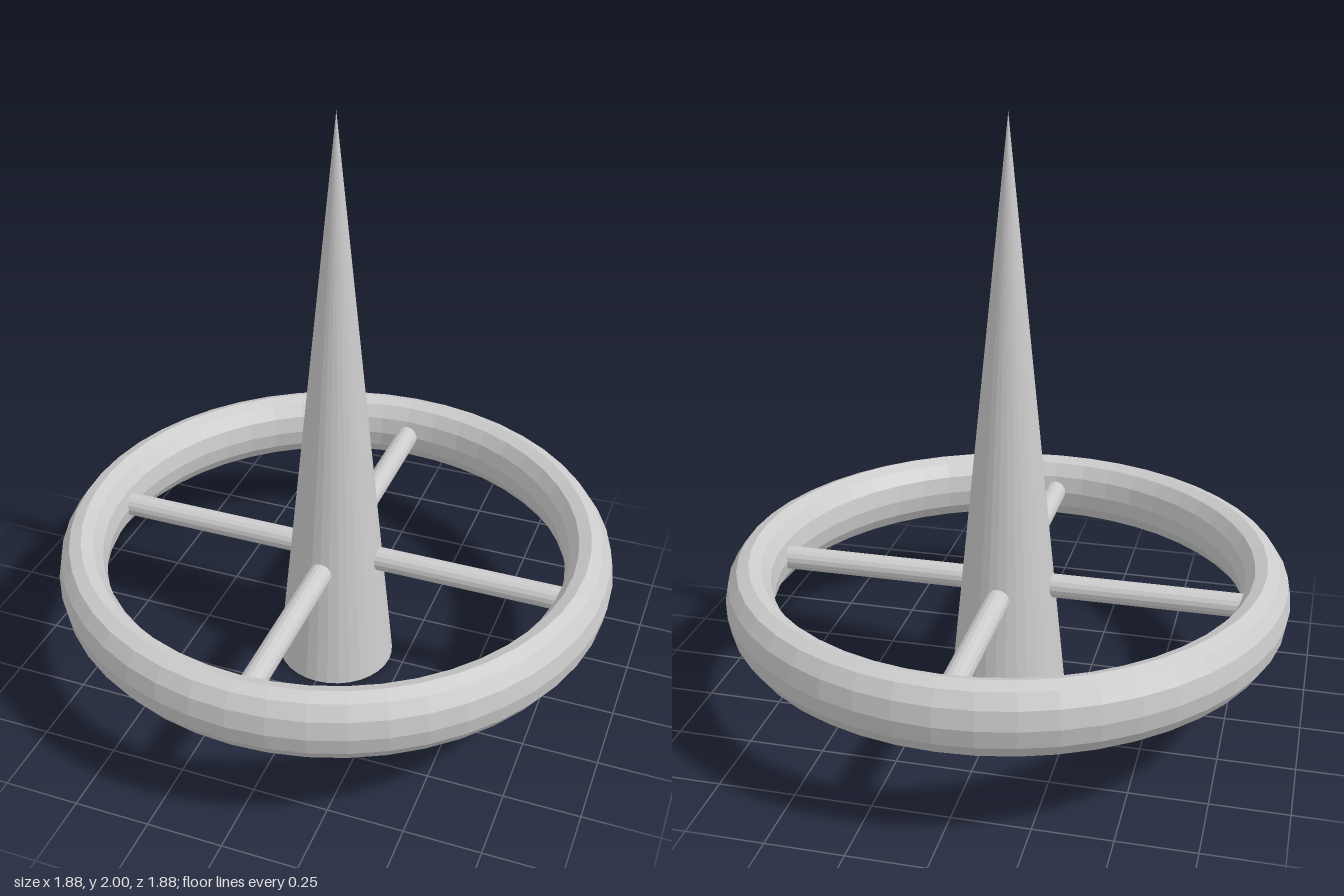
import * as THREE from 'three';

const RING_Y = 0.43;
const RING_RADIUS = 0.86;

export function createModel() {
  const group = new THREE.Group();
  const material = new THREE.MeshStandardMaterial({ color: 0xcccccc, flatShading: true });

  const add = (name, geometry) => {
    const mesh = new THREE.Mesh(geometry, material);
    mesh.name = name;
    group.add(mesh);
    return mesh;
  };

  // Tall central spike, closed at the base
  add('spike', new THREE.ConeGeometry(0.2, 2, 32).translate(0, 1, 0));

  // Horizontal ring with an upright oval section
  const ring = new THREE.TorusGeometry(RING_RADIUS, 0.08, 12, 48);
  ring.rotateX(-Math.PI / 2).scale(1, 1.5, 1).translate(0, RING_Y, 0);
  add('ring', ring);

  // Four round spokes from inside the spike to the middle of the ring
  const inner = 0.1;
  const length = RING_RADIUS - inner;
  for (let i = 0; i < 4; i++) {
    const spoke = new THREE.CylinderGeometry(0.04, 0.04, length, 16);
    spoke.rotateZ(-Math.PI / 2).translate(inner + length / 2, RING_Y, 0);
    add('spoke', spoke).rotation.y = (i * Math.PI) / 2;
  }

  return group;
}
